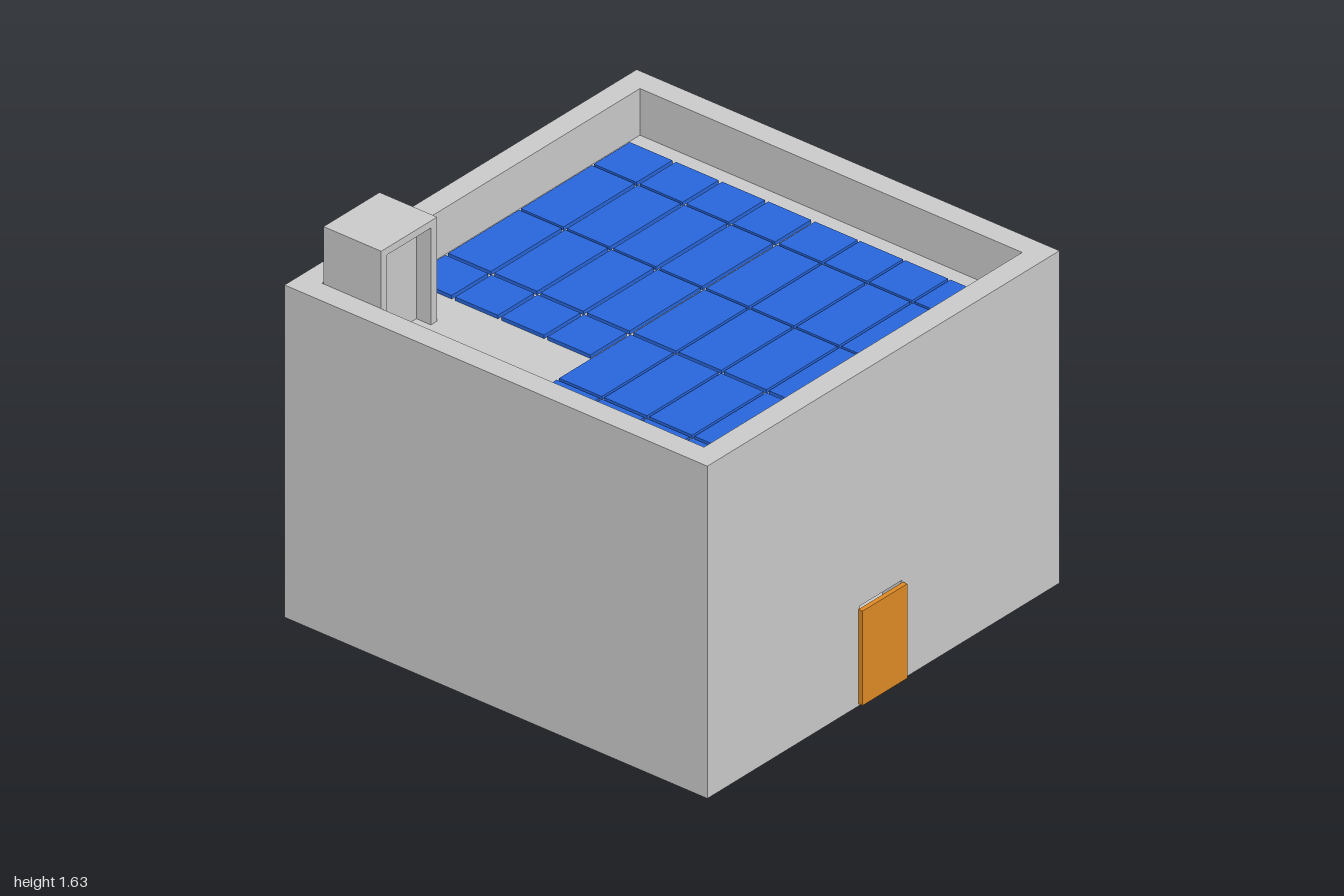
import * as THREE from 'three';

const GREY = new THREE.MeshStandardMaterial({ color: 0xcccccc });
const BLUE = new THREE.MeshStandardMaterial({ color: 0x2866dc });
const ORANGE = new THREE.MeshStandardMaterial({ color: 0xe08a24 });

// Box given by its minimum and maximum along each axis
function box(name, [x0, x1], [y0, y1], [z0, z1], material = GREY) {
  const mesh = new THREE.Mesh(new THREE.BoxGeometry(x1 - x0, y1 - y0, z1 - z0), material);
  mesh.position.set((x0 + x1) / 2, (y0 + y1) / 2, (z0 + z1) / 2);
  mesh.name = name;
  return mesh;
}

const outline = (points) => points.map(([x, y]) => new THREE.Vector2(x, y));
const extrude = (shape, depth) => new THREE.ExtrudeGeometry(shape, { depth, bevelEnabled: false });

export function createModel() {
  const model = new THREE.Group();
  model.name = 'solarHouse';

  const X = 0.985, BACK = -1, FRONT = 0.98, TOP = 1.39, WALL = 0.095, ROOF = 1.195;
  const xi = X - WALL, zi = FRONT - WALL;

  // Side and back walls: U-shaped plan raised to the parapet
  const plan = new THREE.Shape(outline([
    [-X, -zi], [-xi, -zi], [-xi, -BACK - WALL], [xi, -BACK - WALL],
    [xi, -zi], [X, -zi], [X, -BACK], [-X, -BACK],
  ]));
  const walls = new THREE.Mesh(extrude(plan, TOP).rotateX(-Math.PI / 2), GREY);
  walls.name = 'sideAndBackWalls';
  model.add(walls);

  // Front wall with the door opening
  const face = new THREE.Shape(outline([[-X, 0], [X, 0], [X, TOP], [-X, TOP]]));
  face.holes.push(new THREE.Path(outline([[-0.13, 0.01], [-0.13, 0.415], [0.105, 0.415], [0.105, 0.01]])));
  const frontWall = new THREE.Mesh(extrude(face, WALL), GREY);
  frontWall.position.z = zi;
  frontWall.name = 'frontWall';
  model.add(frontWall);

  // Floor, sunken roof and door
  model.add(box('floor', [-xi, xi], [0, 0.02], [BACK + WALL, zi]));
  model.add(box('roof', [-xi, xi], [ROOF - 0.05, ROOF], [BACK + WALL, zi]));
  model.add(box('door', [-0.14, 0.11], [0.01, 0.405], [FRONT, 1], ORANGE));

  // Roof access hut: a hollow arch filled up to a shallow doorway
  const hut = new THREE.Group();
  hut.name = 'roofAccessHut';
  const arch = new THREE.Shape(outline([
    [-0.89, ROOF], [-0.857, ROOF], [-0.857, 1.6], [-0.612, 1.6],
    [-0.612, ROOF], [-0.577, ROOF], [-0.577, 1.63], [-0.89, 1.63],
  ]));
  const shell = new THREE.Mesh(extrude(arch, 0.27), GREY);
  shell.position.z = -0.897;
  shell.name = 'hutShell';
  hut.add(shell, box('hutDoorway', [-0.857, -0.612], [ROOF, 1.6], [-0.897, -0.695]));
  model.add(hut);

  // Solar panels: four shorter rows beside the hut, four full rows in front
  const panels = new THREE.Group();
  panels.name = 'solarPanels';
  const shared = [[-0.206, 0.19], [0.201, 0.598], [0.609, 0.81]];
  const fields = [
    { start: -0.886, pitch: 0.2165, columns: [[-0.425, -0.222], ...shared] },
    { start: -0.018, pitch: 0.2115, columns: [[-0.838, -0.636], [-0.622, -0.222], ...shared] },
  ];
  for (const { start, pitch, columns } of fields) {
    for (let row = 0; row < 4; row++) {
      const z = start + row * pitch;
      for (const column of columns) {
        panels.add(box('solarPanel', column, [ROOF, ROOF + 0.015], [z, z + 0.2], BLUE));
      }
    }
  }
  model.add(panels);

  return model;
}
